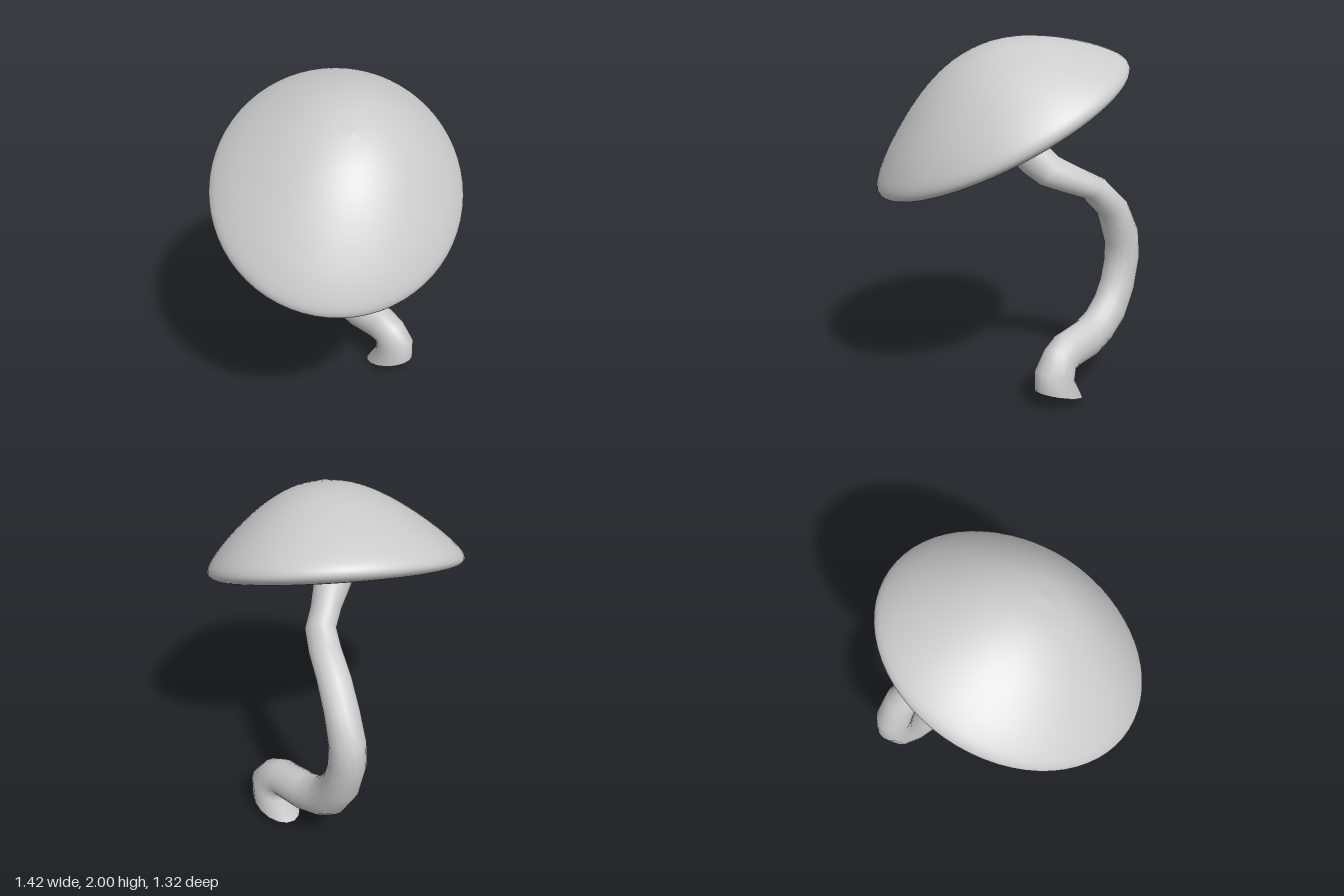
import * as THREE from 'three';

const material = new THREE.MeshStandardMaterial({ color: 0xcccccc, side: THREE.DoubleSide });

// Cap: a rounded dome over a bulging underside with a hollow around the stem
function makeCap() {
  const profile = [
    [0, 0.065], [0.1, 0.045], [0.2, 0], [0.32, -0.03], [0.45, -0.045], [0.57, -0.054], [0.66, -0.05],
    [0.715, -0.03], [0.73, 0.005], [0.7, 0.062], [0.6, 0.165], [0.45, 0.285], [0.3, 0.378],
    [0.15, 0.437], [0, 0.458],
  ].map(([r, y]) => new THREE.Vector2(r, y));
  const points = new THREE.SplineCurve(profile).getPoints(56);
  points.forEach((p) => { p.x = Math.max(p.x, 0); });
  const geometry = new THREE.LatheGeometry(points, 64);
  // Slope the rim (sideways, then front to back) and lean the crown over it
  geometry.applyMatrix4(new THREE.Matrix4().makeBasis(
    new THREE.Vector3(0.973, 0.305, 0),
    new THREE.Vector3(-0.14, 0.92, 0.36),
    new THREE.Vector3(0, -0.375, 0.9),
  ));
  const cap = new THREE.Mesh(geometry, material);
  cap.name = 'cap';
  cap.position.y = 1.505;
  return cap;
}

// Stem: an open tube lofted through oval rings along an S-shaped path
function makeStem() {
  // x, inner edge z and y, outer edge z and y, half width
  const rings = [
    [0.455, 0.2, 0.1, -0.113, 0, 0.12],
    [0.455, 0.2, 0.22, -0.04, 0.12, 0.108],
    [0.455, 0.11, 0.33, -0.035, 0.17, 0.1],
    [0.455, 0, 0.39, -0.06, 0.175, 0.1],
    [0.455, -0.2, 0.415, -0.22, 0.185, 0.1],
    [0.455, -0.29, 0.45, -0.38, 0.24, 0.1],
    [0.46, -0.36, 0.52, -0.5, 0.33, 0.1],
    [0.46, -0.41, 0.6, -0.6, 0.5, 0.1],
    [0.46, -0.44, 0.7, -0.655, 0.72, 0.1],
    [0.455, -0.445, 0.8, -0.64, 0.87, 0.1],
    [0.432, -0.39, 0.98, -0.56, 1.04, 0.096],
    [0.38, -0.29, 1.09, -0.44, 1.18, 0.088],
    [0.31, -0.17, 1.14, -0.29, 1.27, 0.083],
    [0.245, -0.06, 1.19, -0.195, 1.33, 0.08],
    [0.165, -0.01, 1.27, -0.16, 1.4, 0.09],
    [0.06, 0.06, 1.42, -0.135, 1.51, 0.11],
    [0.0, 0.1, 1.52, -0.12, 1.59, 0.12],
    [-0.03, 0.13, 1.6, -0.1, 1.67, 0.12],
  ];
  const sides = 16;
  const centres = rings.map(([x, zi, yi, zo, yo]) => new THREE.Vector3(x, (yi + yo) / 2, (zi + zo) / 2));
  const positions = [];
  const index = [];
  rings.forEach(([, zi, yi, zo, yo, half], i) => {
    const tangent = centres[Math.min(i + 1, rings.length - 1)].clone()
      .sub(centres[Math.max(i - 1, 0)]).normalize();
    const across = new THREE.Vector3(1, 0, 0).addScaledVector(tangent, -tangent.x).normalize();
    const outward = new THREE.Vector3(0, (yo - yi) / 2, (zo - zi) / 2);
    for (let j = 0; j < sides; j++) {
      const a = (j / sides) * Math.PI * 2;
      const p = centres[i].clone()
        .addScaledVector(across, half * Math.cos(a))
        .addScaledVector(outward, Math.sin(a));
      positions.push(p.x, p.y, p.z);
      if (i < rings.length - 1) {
        const k = (j + 1) % sides;
        const q = i * sides;
        index.push(q + j, q + k, q + sides + j, q + k, q + sides + k, q + sides + j);
      }
    }
  });
  const geometry = new THREE.BufferGeometry();
  geometry.setAttribute('position', new THREE.Float32BufferAttribute(positions, 3));
  geometry.setIndex(index);
  geometry.computeVertexNormals();
  const stem = new THREE.Mesh(geometry, material);
  stem.name = 'stem';
  return stem;
}

export function createModel() {
  const group = new THREE.Group();
  group.name = 'mushroom';
  group.add(makeCap(), makeStem());
  return group;
}
